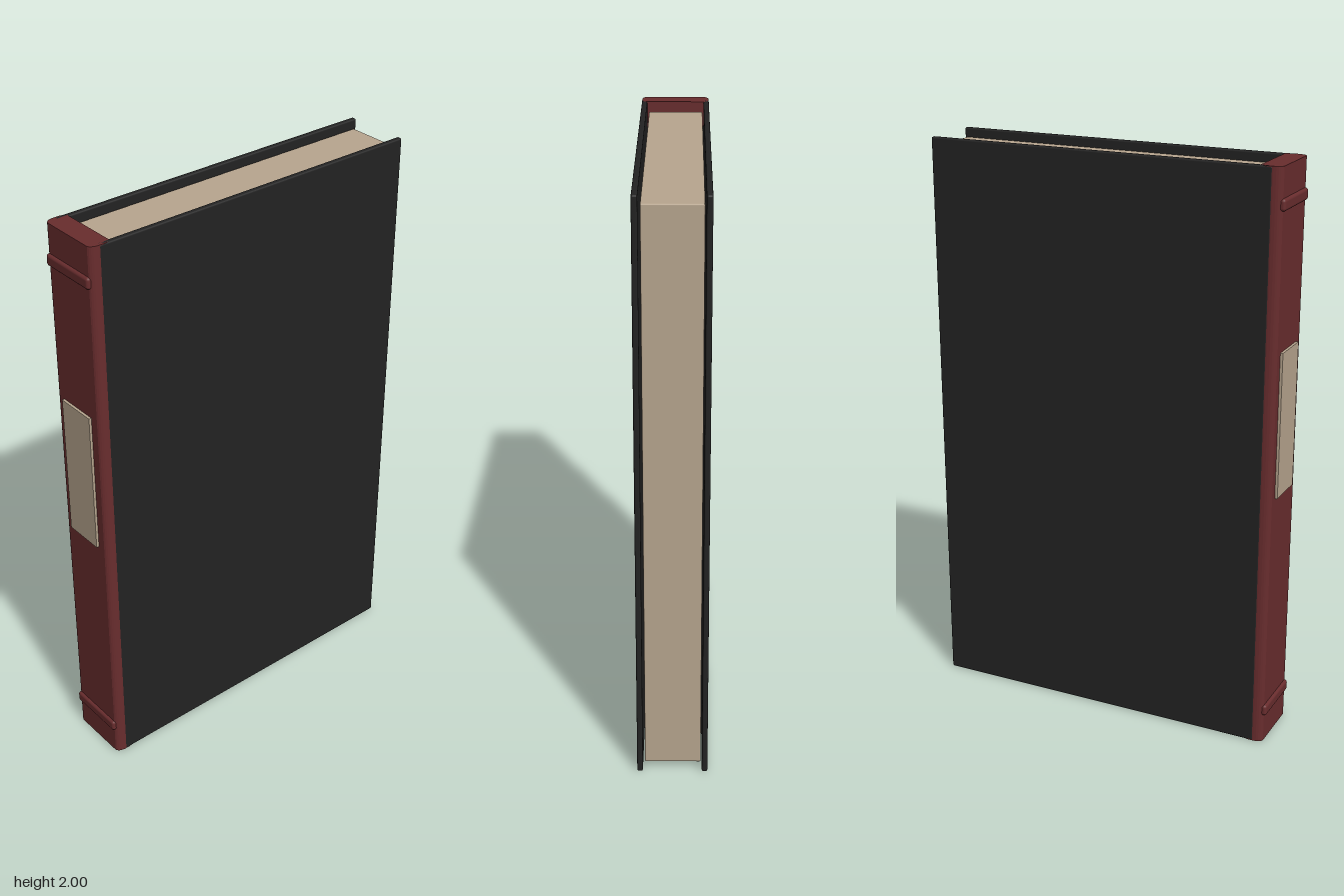
import * as THREE from 'three';
import { RoundedBoxGeometry } from 'three/addons/geometries/RoundedBoxGeometry.js';

const material = (name, color) => {
  const m = new THREE.MeshStandardMaterial({ color });
  m.name = name;
  return m;
};

export function createModel() {
  const book = new THREE.Group();
  book.name = 'book';
  const black = material('black cloth', 0x232323);
  const red = material('dark red leather', 0x692d2e);
  const cream = material('cream paper', 0xb8a68f);

  // Rounded box given by its [min, max] range on each axis
  const block = (name, mat, [x0, x1], [y0, y1], [z0, z1], radius) => {
    const geometry = new RoundedBoxGeometry(x1 - x0, y1 - y0, z1 - z0, 3, radius);
    const mesh = new THREE.Mesh(geometry, mat);
    mesh.name = name;
    mesh.position.set((x0 + x1) / 2, (y0 + y1) / 2, (z0 + z1) / 2);
    book.add(mesh);
  };

  // Cover boards
  block('leftCover', black, [0.099, 0.118], [0, 2], [-0.63, 0.588], 0.006);
  block('rightCover', black, [-0.118, -0.099], [0, 2], [-0.63, 0.588], 0.006);

  // Page block, set in from the cover edges
  block('pages', cream, [-0.095, 0.092], [0.03, 1.97], [-0.615, 0.522], 0.004);

  // Spine: a strip with rounded front corners
  const s = new THREE.Shape();
  s.moveTo(-0.105, 0.545);
  s.lineTo(0.105, 0.545);
  s.quadraticCurveTo(0.117, 0.555, 0.117, 0.575);
  s.lineTo(0.117, 0.59);
  s.quadraticCurveTo(0.115, 0.615, 0.1, 0.62);
  s.lineTo(-0.1, 0.62);
  s.quadraticCurveTo(-0.115, 0.615, -0.117, 0.59);
  s.lineTo(-0.117, 0.575);
  s.quadraticCurveTo(-0.117, 0.555, -0.105, 0.545);
  const spineGeometry = new THREE.ExtrudeGeometry(s, { depth: 2, bevelEnabled: false, curveSegments: 5 });
  spineGeometry.rotateX(Math.PI / 2).translate(0, 2, 0);
  const spine = new THREE.Mesh(spineGeometry, red);
  spine.name = 'spine';
  book.add(spine);

  // Raised bands across the spine
  for (const [name, y] of [['lowerBand', 0.12], ['upperBand', 1.88]]) {
    block(name, red, [-0.108, 0.106], [y - 0.02, y + 0.02], [0.605, 0.63], 0.01);
  }

  // Blank label plate
  const label = new THREE.Mesh(new THREE.BoxGeometry(0.145, 0.5, 0.009), cream);
  label.name = 'spineLabel';
  label.position.set(-0.002, 1.15, 0.6245);
  book.add(label);

  return book;
}
